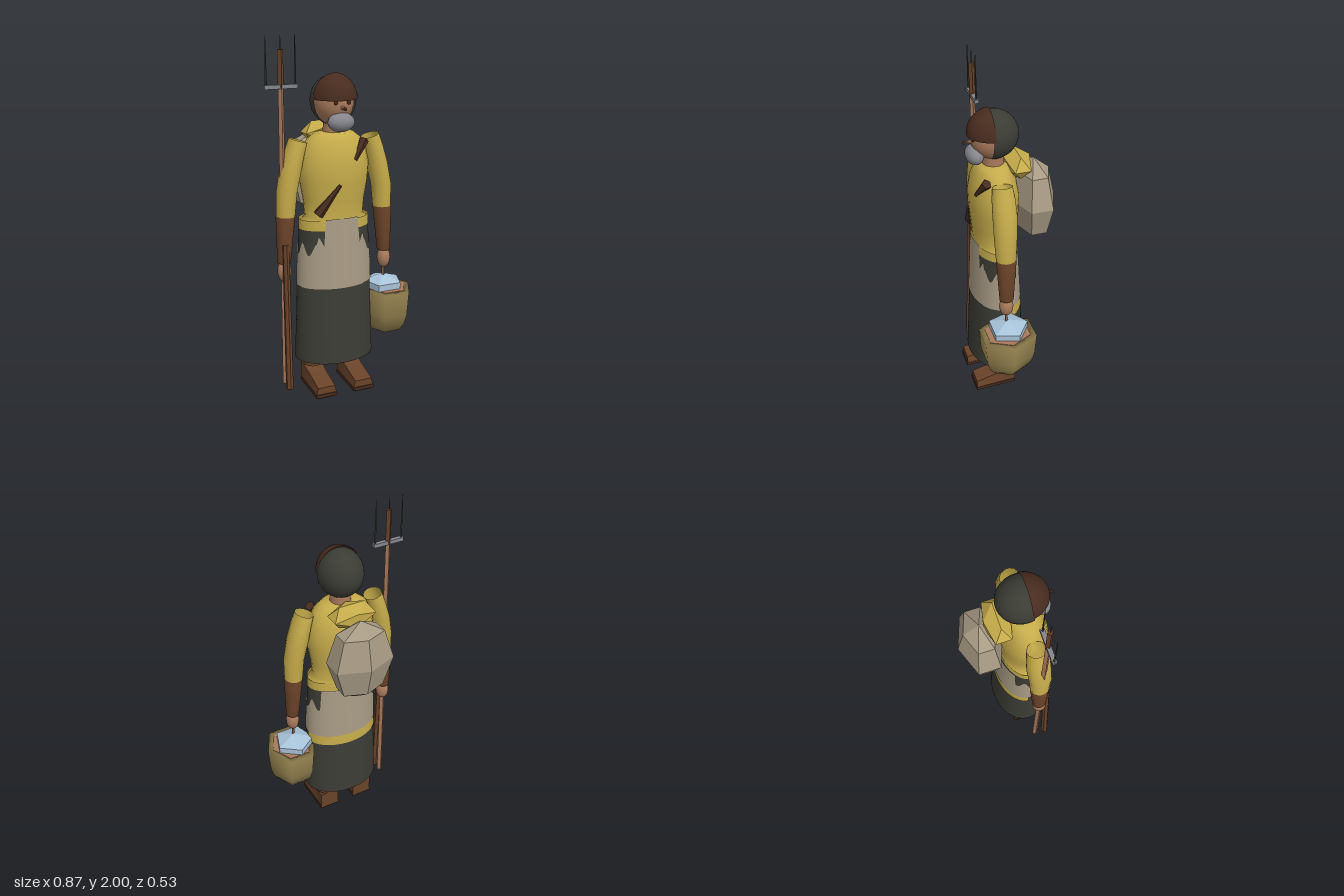
import * as THREE from 'three';
import { mergeVertices } from 'three/addons/utils/BufferGeometryUtils.js';

const CX = -0.04, CZ = 0.09; // body axis

export function createModel() {
  const root = new THREE.Group();
  const mat = (name, color, extra = {}) => {
    const m = new THREE.MeshStandardMaterial({ color, side: THREE.DoubleSide, ...extra });
    m.name = name;
    return m;
  };
  const yellow = mat('yellow cloth', 0xc6ac4b);
  const dark = mat('dark cloth', 0x3b3c34);
  const beige = mat('beige cloth', 0xa89b85);
  const brown = mat('brown leather', 0x6a4329);
  const deep = mat('deep brown', 0x482c1f);
  const skin = mat('skin', 0xa97a5c);
  const grey = mat('grey', 0x85868c);
  const ice = mat('ice blue', 0xa8c3d9);
  const straw = mat('bucket tan', 0x94814f);

  const add = (name, geo, m, x = 0, y = 0, z = 0, parent = root) => {
    const mesh = new THREE.Mesh(geo, m);
    mesh.name = name;
    mesh.position.set(x, y, z);
    parent.add(mesh);
    return mesh;
  };
  const flat = (g) => {
    const f = g.index ? g.toNonIndexed() : g;
    f.computeVertexNormals();
    return f;
  };
  const ball = (rx, ry, rz, w = 20, h = 14) => new THREE.SphereGeometry(1, w, h).scale(rx, ry, rz);

  // Smooth surface from a rule: u runs around, v runs upwards
  const surface = (nu, nv, rule) => {
    const pos = [], idx = [];
    for (let j = 0; j <= nv; j++)
      for (let i = 0; i <= nu; i++) pos.push(...rule(i / nu, j / nv, j));
    for (let j = 0; j < nv; j++)
      for (let i = 0; i < nu; i++) {
        const a = j * (nu + 1) + i, b = a + 1, c = a + nu + 1, d = c + 1;
        idx.push(a, b, d, a, d, c);
      }
    let g = new THREE.BufferGeometry();
    g.setAttribute('position', new THREE.Float32BufferAttribute(pos, 3));
    g.setIndex(idx);
    g = mergeVertices(g, 1e-5);
    g.computeVertexNormals();
    return g;
  };
  // Elliptical rings [x, y, z, rx, rz, tilt], listed bottom to top
  const loft = (rings, sides = 18) => surface(sides, rings.length - 1, (u, v, j) => {
    const [x, y, z, rx, rz, tilt = 0] = rings[j], a = u * Math.PI * 2;
    return [x + rx * Math.sin(a), y + tilt * Math.sin(a), z + rz * Math.cos(a)];
  });
  // Band of cloth following the skirt; a = 0 is the front
  const shell = (a0, a1, lo, hi, off, nu = 72) => surface(nu, 8, (u, v) => {
    const a = a0 + (a1 - a0) * u, y = lo(a) + (hi(a) - lo(a)) * v, t = (y - 0.2) / 0.77;
    const rx = 0.23 - 0.027 * t + off, rz = 0.165 - 0.042 * t + off;
    return [CX + rx * Math.sin(a), y, CZ + rz * Math.cos(a)];
  });
  const rod = (name, m, p, q, r0, r1, sides) => {
    const a = new THREE.Vector3(...p), b = new THREE.Vector3(...q), d = b.clone().sub(a);
    const mesh = add(name, flat(new THREE.CylinderGeometry(r1, r0, d.length(), sides)), m);
    mesh.position.copy(a).add(b).multiplyScalar(0.5);
    mesh.quaternion.setFromUnitVectors(new THREE.Vector3(0, 1, 0), d.normalize());
    return mesh;
  };

  // Skirt, apron and hems
  const PI = Math.PI;
  add('skirt', shell(-PI, PI, () => 0.2, () => 0.97, 0), dark);
  add('shirtHem', shell(-PI, PI, () => 0.965, () => 1.02, 0.001), yellow);
  const apronTop = (a) => {
    const s = Math.abs(a);
    if (s < 0.5) return 1.03;
    if (s > 2.2) return 0.965;
    return 0.86 + 0.035 * Math.sin(11 * s) + (s < 0.7 ? 0.04 : 0);
  };
  add('apron', shell(-PI, PI, () => 0.64, apronTop, 0.005, 120), beige);
  add('backStripe', shell(1.65, 2 * PI - 1.65, () => 0.575, () => 0.645, 0.003), yellow);

  // Torso and neck
  add('torso', loft([
    [CX, 1.0, CZ, 0.2, 0.125], [CX, 1.03, CZ, 0.168, 0.118], [CX, 1.12, CZ, 0.176, 0.125],
    [CX, 1.22, CZ, 0.194, 0.134], [CX, 1.31, CZ, 0.2, 0.136], [CX, 1.39, CZ, 0.182, 0.122],
    [CX, 1.45, CZ, 0.155, 0.098], [CX, 1.485, CZ, 0.11, 0.075], [CX, 1.49, CZ, 0.04, 0.03],
  ], 24), yellow);
  add('neck', new THREE.CylinderGeometry(0.055, 0.06, 0.12, 14), skin, CX, 1.51, 0.085);

  // Chest strap ends
  rod('strapUpper', deep, [0.035, 1.345, 0.205], [0.105, 1.445, 0.165], 0.012, 0.028, 5);
  rod('strapLower', deep, [-0.175, 1.06, 0.19], [-0.06, 1.22, 0.225], 0.03, 0.01, 5);

  // Arms, hands, legs and shoes, mirrored about the body axis
  for (const s of [-1, 1]) {
    const limb = new THREE.Group();
    limb.name = s < 0 ? 'rightLimbs' : 'leftLimbs';
    limb.position.x = CX;
    root.add(limb);
    const arm = (rings) => loft(rings.map(([x, y, z, rx, rz, t = 0]) => [s * x, y, z, rx, rz, s * t]), 14);
    add('sleeve', arm([
      [0.287, 1.05, 0.105, 0.051, 0.056], [0.28, 1.18, 0.105, 0.057, 0.063],
      [0.255, 1.3, 0.1, 0.06, 0.067], [0.232, 1.39, 0.1, 0.056, 0.064],
      [0.21, 1.455, 0.1, 0.05, 0.055, 0.015],
    ]), yellow, 0, 0, 0, limb);
    add('forearm', arm([
      [0.302, 0.79, 0.108, 0.005, 0.005], [0.302, 0.79, 0.108, 0.037, 0.04],
      [0.289, 1.05, 0.105, 0.053, 0.057], [0.289, 1.05, 0.105, 0.005, 0.005],
    ]), brown, 0, 0, 0, limb);
    add('hand', ball(0.038, 0.06, 0.04, 14, 10), skin, s * 0.303, 0.74, 0.11, limb);
    add('leg', new THREE.CylinderGeometry(0.056, 0.056, 0.26, 14), brown, s * 0.12, 0.27, 0.065, limb);

    // Wedge shoe drawn from the side, then turned to face forwards
    const side = new THREE.Shape([[0.015, 0.025], [0.255, 0.03], [0.255, 0.07], [0.12, 0.105], [0.015, 0.135]]
      .map(([z, y]) => new THREE.Vector2(z, y)));
    const shoe = new THREE.ExtrudeGeometry(side, { depth: 0.12, bevelEnabled: false });
    shoe.rotateY(-PI / 2).translate(0.06, 0, 0);
    // narrow the top of the toe
    const p = shoe.attributes.position;
    for (let i = 0; i < p.count; i++)
      if (p.getZ(i) > 0.1 && p.getY(i) > 0.05) p.setX(i, p.getX(i) * 0.85);
    add('shoe', flat(shoe), brown, s * 0.114, 0, 0, limb);
    const sole = add('sole', new THREE.BoxGeometry(0.124, 0.02, 0.245), deep, s * 0.114, 0.024, 0.138, limb);
    sole.rotation.x = 0.03;
    add('heel', new THREE.BoxGeometry(0.1, 0.02, 0.12), brown, s * 0.114, 0.012, 0.19, limb);
  }

  // Head: hood behind, face in front, cap brim over the brow
  const hood = new THREE.SphereGeometry(1, 28, 16, 0, PI * 2, 0, 1.78).rotateX(-PI / 2).scale(0.125, 0.135, 0.137);
  add('hood', hood, dark, CX, 1.655, 0.085);
  const cap = new THREE.SphereGeometry(1, 24, 14, PI, PI, 0, 1.45).rotateX(PI / 2).scale(0.126, 0.136, 0.14);
  // keep the shell on the upper half
  cap.computeBoundingBox();
  if (cap.boundingBox.max.y < 0.05) cap.rotateZ(PI);
  add('capFront', cap, deep, CX, 1.665, 0.085);
  add('face', ball(0.108, 0.125, 0.124, 24, 16), skin, CX, 1.645, 0.085);
  add('beard', ball(0.076, 0.052, 0.05, 18, 12), grey, CX, 1.55, 0.188);
  const nose = add('nose', new THREE.ConeGeometry(0.014, 0.05, 6), skin, CX, 1.628, 0.222);
  nose.rotation.x = PI / 2;
  add('noseTip', ball(0.01, 0.01, 0.008, 8, 6), deep, CX, 1.626, 0.242);
  for (const s of [-1, 1]) {
    add('eye', ball(0.012, 0.012, 0.008, 10, 8), deep, CX + s * 0.037, 1.655, 0.203);
    const brow = add('brow', new THREE.BoxGeometry(0.04, 0.009, 0.012), grey, CX + s * 0.038, 1.682, 0.202);
    brow.rotation.set(0, s * 0.35, -s * 0.15);
  }

  // Sack and its tied neck
  add('sack', flat(new THREE.SphereGeometry(1, 6, 4).rotateY(PI / 2).scale(0.2, 0.25, 0.125)),
    beige, CX, 1.23, -0.14);
  add('sackKnot', flat(new THREE.IcosahedronGeometry(1, 0).scale(0.145, 0.075, 0.085)), yellow, CX, 1.465, -0.045);

  // Pitchfork with a second short stick beside it
  const FX = -0.345, FZ = 0.11;
  rod('forkShaft', skin, [FX, 0.07, FZ], [FX, 1.73, FZ], 0.017, 0.015, 4);
  rod('forkTop', brown, [FX, 1.73, FZ], [FX, 1.93, FZ], 0.016, 0.016, 4);
  add('forkBar', new THREE.BoxGeometry(0.182, 0.022, 0.024), grey, FX, 1.742, FZ);
  for (const dx of [-0.08, 0, 0.08])
    rod('tine', dark, [FX + dx, 1.74, FZ], [FX + dx, 2, FZ], 0.006, 0.002, 4);
  rod('stick', brown, [FX, 0.065, 0.175], [FX, 0.9, 0.145], 0.021, 0.019, 6);

  // Bucket with a block of ice and its handle
  const bucket = new THREE.Group();
  bucket.name = 'bucket';
  bucket.position.set(0.28, 0, 0.108);
  bucket.scale.z = 1.15;
  root.add(bucket);
  const pail = [[0.001, 0.31], [0.09, 0.31], [0.122, 0.355], [0.14, 0.42], [0.15, 0.56], [0.11, 0.56], [0.105, 0.5], [0.001, 0.5]];
  add('pail', new THREE.LatheGeometry(pail.map(([r, y]) => new THREE.Vector2(r, y)), 6, PI / 2), straw, 0, 0, 0, bucket);
  add('pailLining', flat(new THREE.CylinderGeometry(0.118, 0.112, 0.06, 6, 1, false, PI / 2)), skin, 0, 0.533, 0, bucket);
  add('iceBlock', flat(new THREE.CylinderGeometry(0.115, 0.115, 0.1, 5, 1, false, PI)), ice, 0.265, 0.55, 0.1);
  add('icePeak', flat(new THREE.ConeGeometry(0.115, 0.04, 5, 1, false, PI)), ice, 0.265, 0.62, 0.1);
  rod('bucketHandle', skin, [0.262, 0.6, 0.11], [0.262, 0.72, 0.11], 0.008, 0.008, 6);

  return root;
}
